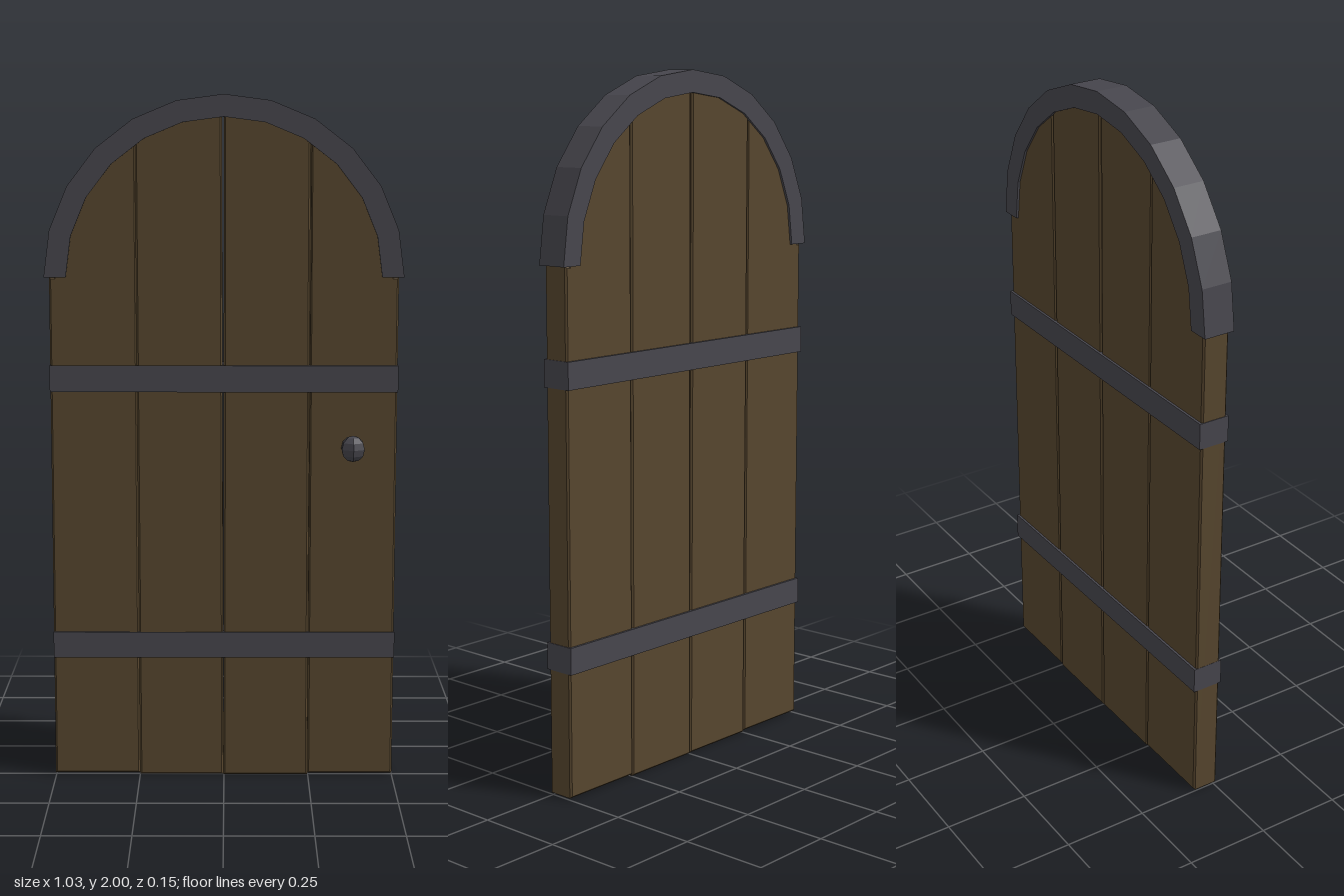
import * as THREE from 'three';

const iron = new THREE.MeshStandardMaterial({ name: 'dark iron', color: 0x47464d });
const wood = new THREE.MeshStandardMaterial({ name: 'brown wood', color: 0x57462e });

const SPRING_Y = 1.485; // height where the arch begins
const STEPS = 12; // facets of the arch
const MID_Z = -0.031;

function arcPoints(radius) {
  return Array.from({ length: STEPS + 1 }, (_, i) => {
    const a = (Math.PI * i) / STEPS;
    return new THREE.Vector2(radius * Math.cos(a), SPRING_Y + radius * Math.sin(a));
  });
}

function addMesh(group, name, geometry, material, x = 0, y = 0, z = 0) {
  const mesh = new THREE.Mesh(geometry, material);
  mesh.name = name;
  mesh.position.set(x, y, z);
  group.add(mesh);
  return mesh;
}

// One board whose top follows the arch, with a thin chamfer all round
function plankGeometry(bottomLeft, bottomRight, topLeft, topRight, bottomY) {
  const r = 0.487;
  const topY = (x) => SPRING_Y + Math.sqrt(Math.max(0, r * r - x * x));
  const points = [new THREE.Vector2(bottomLeft, bottomY), new THREE.Vector2(bottomRight, bottomY)];
  if (topRight > r) points.push(new THREE.Vector2(topRight, SPRING_Y));
  for (let i = 0; i <= 6; i++) {
    const x = THREE.MathUtils.lerp(Math.min(topRight, r), Math.max(topLeft, -r), i / 6);
    points.push(new THREE.Vector2(x, topY(x)));
  }
  if (topLeft < -r) points.push(new THREE.Vector2(topLeft, SPRING_Y));
  const bevel = 0.005;
  return new THREE.ExtrudeGeometry(new THREE.Shape(points), {
    depth: 0.08 - 2 * bevel,
    bevelEnabled: true,
    bevelThickness: bevel,
    bevelSize: bevel,
    bevelOffset: -bevel,
    bevelSegments: 1,
  }).translate(0, 0, -0.07 + bevel);
}

export function createModel() {
  const door = new THREE.Group();
  door.name = 'archedDoor';

  // Four slightly uneven boards
  const planks = [
    [-0.502, -0.25, -0.5, -0.252, 0.006],
    [-0.25, -0.002, -0.252, -0.006, 0.002],
    [-0.002, 0.248, 0, 0.245, 0],
    [0.248, 0.5, 0.248, 0.5, 0.005],
  ];
  planks.forEach((p, i) => addMesh(door, `plank${i + 1}`, plankGeometry(...p), wood));

  // Faceted iron arch around the top
  const rim = new THREE.Shape([...arcPoints(0.515), ...arcPoints(0.452).reverse()]);
  const rimGeometry = new THREE.ExtrudeGeometry(rim, { depth: 0.092, bevelEnabled: false });
  addMesh(door, 'archRim', rimGeometry, iron, 0, 0, MID_Z - 0.046);

  // Iron straps wrapping both faces
  [['lowerStrap', 0.402], ['upperStrap', 1.193]].forEach(([name, y]) =>
    addMesh(door, name, new THREE.BoxGeometry(1.004, 0.077, 0.092), iron, 0, y, MID_Z));

  // Low-poly knob
  const knob = new THREE.SphereGeometry(0.038, 6, 6).rotateY(Math.PI / 2).toNonIndexed();
  knob.computeVertexNormals();
  addMesh(door, 'knob', knob, iron, 0.372, 0.993, 0.038);

  return door;
}
